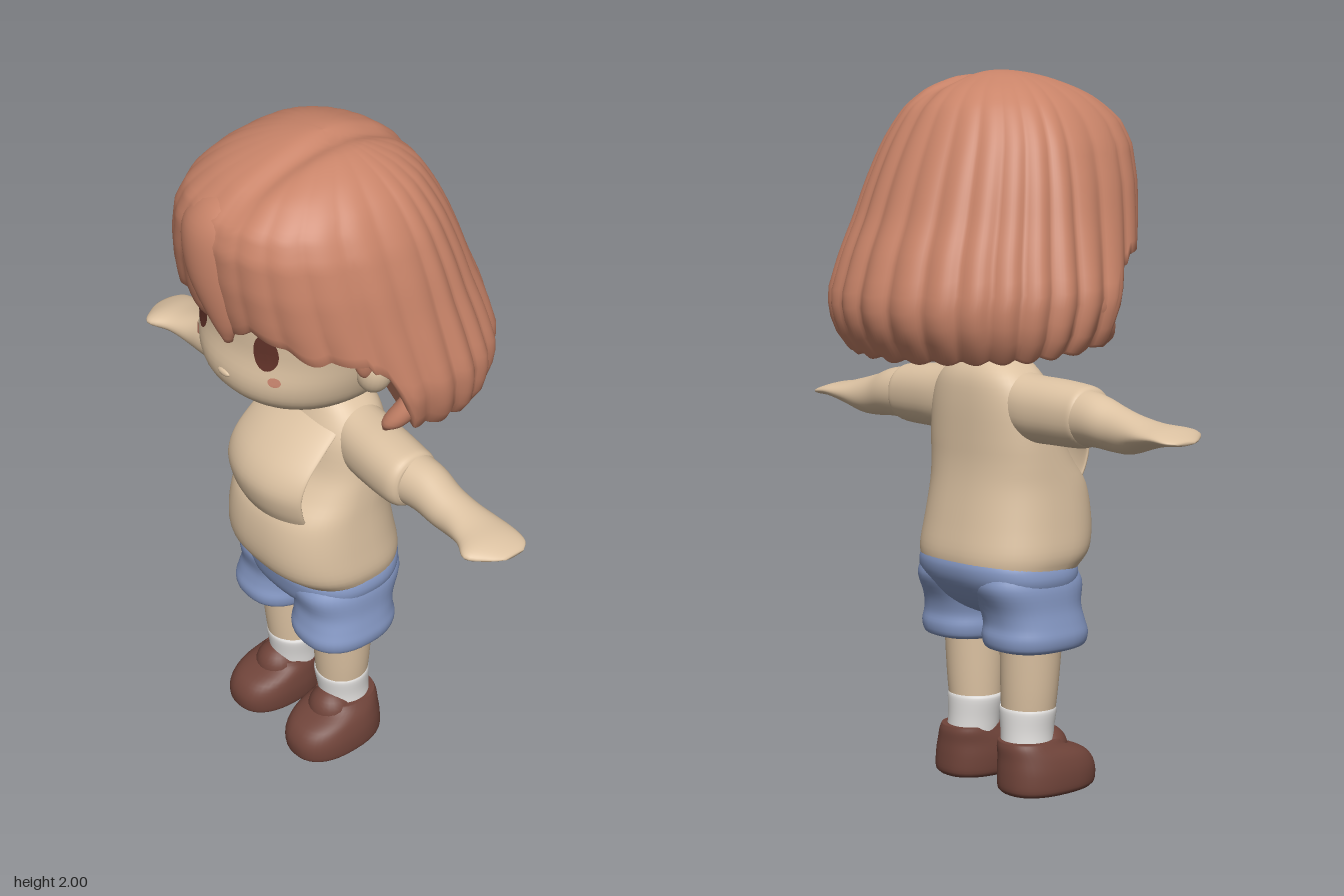
import * as THREE from 'three';

const mat = (name, color, extra = {}) => Object.assign(new THREE.MeshStandardMaterial({ color, ...extra }), { name });

// Closed-around grid of points: fn(row 0..1, angle) -> [x, y, z]; optional end caps
function grid(rows, cols, fn, caps) {
  const pos = [], idx = [];
  for (let i = 0; i <= rows; i++)
    for (let j = 0; j < cols; j++) pos.push(...fn(i / rows, (j / cols) * Math.PI * 2));
  for (let i = 0; i < rows; i++)
    for (let j = 0; j < cols; j++) {
      const k = (j + 1) % cols, a = i * cols + j, b = i * cols + k;
      idx.push(a, a + cols, b, b, a + cols, b + cols);
    }
  if (caps) {
    const n = pos.length / 3;
    pos.push(...caps[0], ...caps[1]);
    for (let j = 0; j < cols; j++) {
      const k = (j + 1) % cols;
      idx.push(n, j, k, n + 1, rows * cols + k, rows * cols + j);
    }
  }
  const g = new THREE.BufferGeometry();
  g.setAttribute('position', new THREE.Float32BufferAttribute(pos, 3));
  g.setIndex(idx);
  g.computeVertexNormals();
  return g;
}

// Smooth loft through sections [along, centre1, centre2, radius1, radius2]
function loft(sections, { axis = 'y', n = 2, cols = 40, bow = 0 } = {}) {
  const c = new THREE.CatmullRomCurve3(sections.map(s => new THREE.Vector3(s[0], s[1], s[2])), false, 'catmullrom');
  const r = new THREE.CatmullRomCurve3(sections.map(s => new THREE.Vector3(s[3], s[4], 0)), false, 'catmullrom');
  const pw = v => Math.sign(v) * Math.abs(v) ** (2 / n);
  const place = (p, a, b) => axis === 'y'
    ? [p.y + a, p.x, p.z + b - bow * a * a]
    : [p.x, p.y + a, p.z - b];
  const fn = (t, ang) => {
    const q = r.getPoint(t);
    return place(c.getPoint(t), q.x * pw(Math.cos(ang)), q.y * pw(Math.sin(ang)));
  };
  return grid((sections.length - 1) * 4, cols, fn, [place(c.getPoint(0), 0, 0), place(c.getPoint(1), 0, 0)]);
}

function mirrorX(geo) {
  const g = geo.clone().scale(-1, 1, 1), a = g.index.array;
  for (let i = 0; i < a.length; i += 3) [a[i], a[i + 1]] = [a[i + 1], a[i]];
  g.computeVertexNormals();
  return g;
}

// Linear lookup in a table of [key, value]
function lookup(table, k) {
  let i = 1;
  while (i < table.length - 1 && table[i][0] < k) i++;
  const [a, va] = table[i - 1], [b, vb] = table[i];
  return va + (vb - va) * Math.min(1, (k - a) / (b - a));
}

// Hair profiles, keyed by the square root of the distance below the crown
const WIDTH = [[0, 0], [0.12, 0.115], [0.224, 0.2], [0.316, 0.264], [0.387, 0.303], [0.447, 0.332], [0.548, 0.368], [0.632, 0.394], [0.707, 0.422], [0.775, 0.448], [0.837, 0.432], [0.88, 0.385]];
const FRONT = [[0, 0.04], [0.12, 0.15], [0.187, 0.22], [0.265, 0.305], [0.37, 0.388], [0.45, 0.41], [0.55, 0.405], [0.63, 0.388], [0.7, 0.36], [0.837, 0.29], [0.88, 0.27]];
const BACK = [[0, 0.04], [0.17, -0.09], [0.224, -0.14], [0.316, -0.2], [0.5, -0.285], [0.632, -0.345], [0.707, -0.39], [0.787, -0.425], [0.837, -0.41], [0.88, -0.35]];
const HEM = [[0, 1.54], [0.6, 1.56], [0.8, 1.54], [1.0, 1.5], [1.14, 1.47], [1.24, 1.29], [1.4, 1.275], [2, 1.255], [3.15, 1.24]];

function hairGeometry() {
  // Last rows fold under the hem to make the inside
  const fold = [[0.97, -0.008], [0.88, -0.002], [0.74, 0.0], [0.58, 0.01], [0.5, 0.06]];
  const rows = 39, outer = rows - fold.length;
  return grid(rows, 260, (t, ang) => {
    const row = Math.round(t * rows), v = Math.min(1, row / outer);
    const [shrink, lift] = row > outer ? fold[row - outer - 1] : [1, 0];
    const th = ang > Math.PI ? ang - Math.PI * 2 : ang, side = Math.abs(th);
    const lobe = Math.abs(Math.cos(13 * th + 0.5 * Math.sin(3 * th)));
    let hem = lookup(HEM, side) - 0.012 * lobe;
    if (side < 1.05) hem -= 0.025 * Math.cos(9 * th);
    const u = v * Math.sqrt(2 - hem), z0 = 0.04 - 0.12 * (u / 0.87) ** 2;
    const isFront = Math.cos(th) > 0;
    const depth = isFront ? lookup(FRONT, u) - z0 : z0 - lookup(BACK, u);
    const amp = 0.05 * v * (isFront ? 1 - 0.75 * Math.cos(th) : 1);
    // The front half is slightly squared
    const n = isFront ? 2.3 : 2;
    const square = (Math.abs(Math.cos(th)) ** n + Math.abs(Math.sin(th)) ** n) ** (-1 / n);
    const k = shrink * square * (1 + amp * (lobe - 0.7));
    const x = 0.03 * (1 - v) + lookup(WIDTH, u) * Math.sin(th) * k;
    // Shallow parting groove beside the crown
    const parting = 0.022 * Math.exp(-(((x - 0.075) / 0.035) ** 2)) * Math.max(0, 1 - u * 1.8);
    return [x, 2 - u * u + lift - parting, z0 + depth * Math.cos(th) * k];
  });
}

export function createModel() {
  const model = new THREE.Group();
  model.name = 'child';
  const skin = mat('warm beige', 0xdcc2a2);
  const hairMat = mat('copper hair', 0xc98469, { side: THREE.DoubleSide });
  const blue = mat('denim blue', 0x8699c5);
  const brown = mat('shoe brown', 0x70443a);
  const white = mat('sock white', 0xe4e2e0);
  const eyeMat = mat('eye brown', 0x64342a);
  const blush = mat('blush', 0xcb8770);

  const add = (name, geo, material) => {
    const m = new THREE.Mesh(geo, material);
    m.name = name;
    model.add(m);
    return m;
  };
  const pair = (name, geo, material) => {
    add('left' + name, geo, material);
    add('right' + name, mirrorX(geo), material);
  };

  // Head, ears and neck
  const head = add('head', loft([
    [1.25, 0, 0.08, 0.12, 0.12], [1.272, 0, 0.085, 0.19, 0.195], [1.32, 0, 0.085, 0.25, 0.253],
    [1.38, 0, 0.08, 0.28, 0.272], [1.46, 0, 0.075, 0.3, 0.26], [1.56, 0, 0.07, 0.315, 0.26],
    [1.68, 0, 0.06, 0.3, 0.25], [1.8, 0, 0.05, 0.22, 0.2], [1.87, 0, 0.05, 0.1, 0.1],
  ], { n: 2.15, cols: 56 }), skin);
  pair('Ear', new THREE.SphereGeometry(1, 24, 16).scale(0.05, 0.068, 0.048).rotateZ(-0.25).translate(0.303, 1.428, 0.093), skin);
  add('neck', loft([[1.17, 0, 0.01, 0.11, 0.085], [1.22, 0, 0.025, 0.075, 0.068], [1.3, 0, 0.03, 0.068, 0.065]]), skin);

  // Face details draped on the head
  head.updateMatrixWorld(true);
  const ray = new THREE.Raycaster();
  const decal = (x, y, rx, ry) => {
    const g = new THREE.RingGeometry(0, 1, 28, 4).scale(rx, ry, 1).translate(x, y, 0);
    const p = g.attributes.position;
    for (let i = 0; i < p.count; i++) {
      ray.set(new THREE.Vector3(p.getX(i), p.getY(i), 2), new THREE.Vector3(0, 0, -1));
      const hit = ray.intersectObject(head)[0];
      p.setZ(i, (hit ? hit.point.z : 0.3) + 0.005);
    }
    g.computeVertexNormals();
    return g;
  };
  pair('Eye', decal(0.134, 1.487, 0.036, 0.053), eyeMat);
  pair('Cheek', decal(0.162, 1.408, 0.016, 0.014), blush);
  add('mouth', new THREE.SphereGeometry(1, 20, 12).scale(0.024, 0.01, 0.008).translate(0, 1.372, 0.351), skin);

  // Bobbed hair, soft fringe lock, and locks before and behind each ear
  add('hair', hairGeometry(), hairMat);
  add('fringeLock', loft([
    [1.49, 0.03, 0.355, 0.012, 0.012], [1.56, 0.02, 0.369, 0.05, 0.026], [1.68, -0.01, 0.393, 0.09, 0.03],
    [1.8, -0.02, 0.392, 0.098, 0.03], [1.87, -0.01, 0.358, 0.075, 0.028], [1.91, 0, 0.305, 0.03, 0.02],
  ], { bow: 2.2 }), hairMat);
  pair('TempleLock', new THREE.SphereGeometry(1, 20, 16).scale(0.026, 0.075, 0.042).translate(0.312, 1.5, 0.125), hairMat);
  pair('JawLock', loft([
    [1.262, 0.345, 0.085, 0.01, 0.012], [1.3, 0.368, 0.07, 0.034, 0.038],
    [1.38, 0.398, 0.03, 0.032, 0.042], [1.48, 0.39, 0.0, 0.02, 0.03],
  ]), hairMat);

  // Sweater body and the loose chest panel standing off it
  add('sweater', loft([
    [0.63, 0, 0.03, 0.23, 0.18], [0.68, 0, 0.05, 0.242, 0.205], [0.76, 0, 0.063, 0.235, 0.204],
    [0.86, 0, 0.063, 0.224, 0.186], [0.93, 0, 0.04, 0.218, 0.155], [1.0, 0, 0.02, 0.212, 0.133],
    [1.1, 0, 0.012, 0.2, 0.122], [1.17, 0, 0.004, 0.16, 0.103], [1.22, 0, 0.01, 0.09, 0.075],
  ], { n: 2.5, cols: 56 }), skin);
  add('chestPanel', loft([
    [0.8, 0, 0.2, 0.14, 0.015], [0.86, 0, 0.233, 0.15, 0.016], [0.91, 0, 0.256, 0.157, 0.015],
    [0.97, 0, 0.264, 0.16, 0.015], [1.03, 0, 0.238, 0.16, 0.015], [1.09, 0, 0.175, 0.155, 0.02],
    [1.14, 0, 0.106, 0.145, 0.024], [1.18, 0, 0.05, 0.12, 0.024],
  ], { n: 2.4, bow: 1.6 }), skin);

  // Sleeves, arms and flat hands
  pair('Sleeve', loft([
    [0.06, 1.11, 0.0, 0.085, 0.07], [0.17, 1.087, 0.008, 0.091, 0.085], [0.27, 1.083, 0.016, 0.09, 0.087],
    [0.35, 1.08, 0.02, 0.086, 0.084], [0.38, 1.08, 0.018, 0.08, 0.078], [0.392, 1.08, 0.016, 0.066, 0.066],
  ], { axis: 'x', n: 2.2 }), skin);
  pair('Arm', loft([
    [0.34, 1.08, 0.015, 0.078, 0.074], [0.43, 1.076, 0.008, 0.071, 0.067], [0.5, 1.062, 0.01, 0.062, 0.062],
    [0.56, 1.055, 0.008, 0.053, 0.062], [0.63, 1.058, 0.012, 0.034, 0.074], [0.69, 1.06, 0.026, 0.023, 0.09],
    [0.735, 1.055, 0.006, 0.013, 0.064], [0.757, 1.052, 0.0, 0.005, 0.032],
  ], { axis: 'x' }), skin);

  // Shorts with rolled cuffs
  add('shortsHips', loft([
    [0.49, 0, 0.045, 0.05, 0.06], [0.515, 0, 0.045, 0.12, 0.115], [0.55, 0, 0.04, 0.205, 0.152],
    [0.6, 0, 0.03, 0.236, 0.176], [0.64, 0, 0.025, 0.234, 0.182], [0.67, 0, 0.012, 0.215, 0.163],
  ], { n: 2.5, cols: 56 }), blue);
  pair('ShortsLeg', loft([
    [0.41, 0.13, 0.05, 0.1, 0.12], [0.42, 0.13, 0.05, 0.12, 0.143], [0.45, 0.13, 0.05, 0.127, 0.15],
    [0.485, 0.128, 0.048, 0.122, 0.143], [0.53, 0.12, 0.04, 0.121, 0.145], [0.59, 0.115, 0.032, 0.121, 0.165],
    [0.63, 0.11, 0.025, 0.11, 0.155],
  ], { n: 2.4 }), blue);

  // Legs, socks and shoes
  pair('Leg', loft([[0.2, 0.112, 0.04, 0.074, 0.074], [0.3, 0.116, 0.042, 0.081, 0.082], [0.45, 0.12, 0.045, 0.087, 0.09]]), skin);
  pair('Sock', loft([
    [0.11, 0.118, 0.032, 0.073, 0.075], [0.17, 0.114, 0.036, 0.074, 0.076],
    [0.225, 0.112, 0.04, 0.081, 0.08], [0.24, 0.112, 0.04, 0.078, 0.077],
  ]), white);
  pair('Shoe', loft([
    [0, 0.135, 0.09, 0.092, 0.138], [0.015, 0.135, 0.09, 0.102, 0.15], [0.06, 0.133, 0.09, 0.103, 0.15],
    [0.1, 0.13, 0.077, 0.095, 0.134], [0.13, 0.125, 0.042, 0.083, 0.098], [0.148, 0.122, 0.034, 0.075, 0.085],
  ], { n: 2.4 }), brown);
  pair('ShoeTongue', new THREE.SphereGeometry(1, 24, 16).scale(0.068, 0.067, 0.068).translate(0.125, 0.113, 0.09), brown);

  return model;
}
